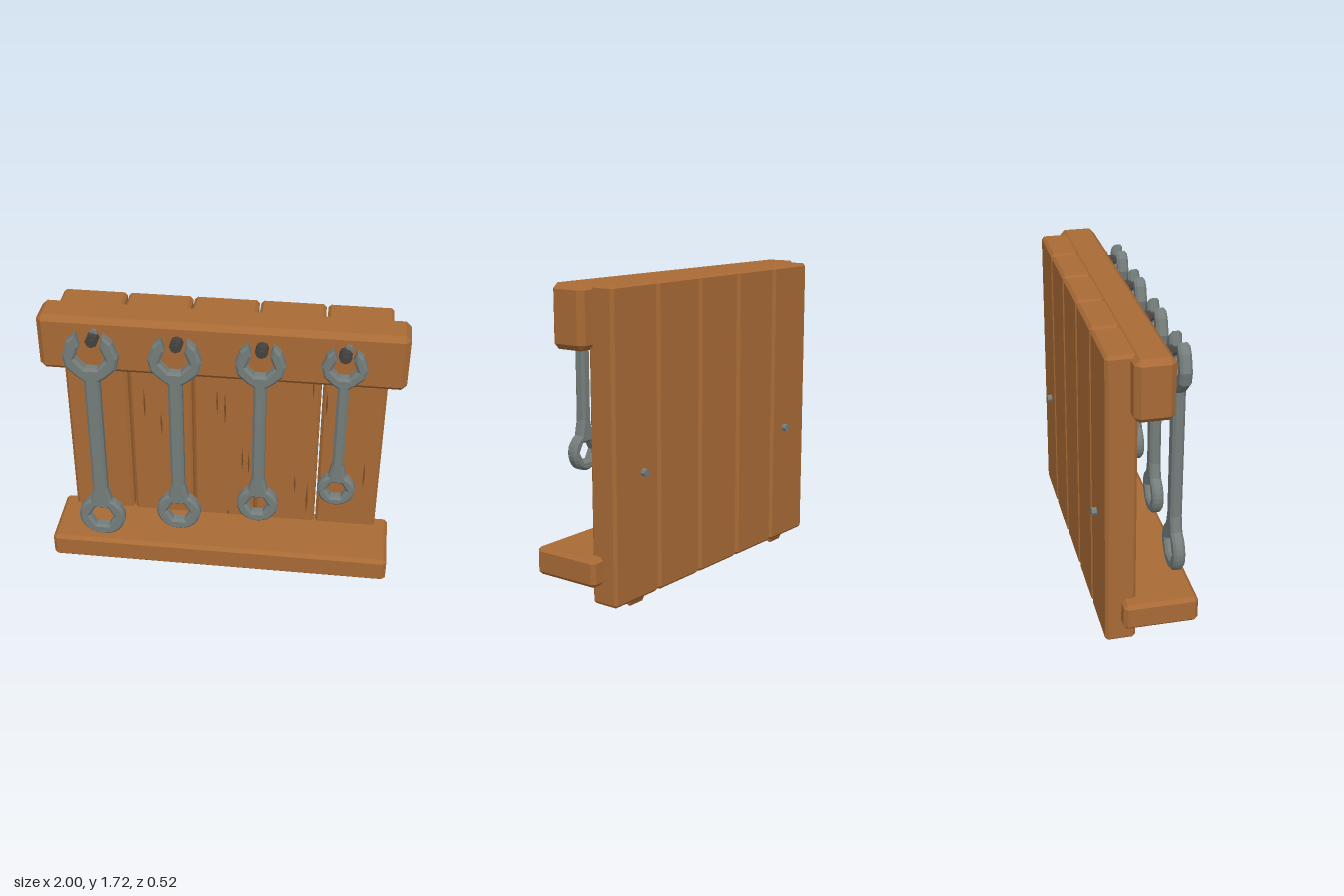
import * as THREE from 'three';
import { ConvexGeometry } from 'three/addons/geometries/ConvexGeometry.js';

const mat = (name, color) => {
  const m = new THREE.MeshStandardMaterial({ color, flatShading: true });
  m.name = name;
  return m;
};

// Box with flat chamfered edges, given by its limits
function chamferBox(x0, x1, y0, y1, z0, z1, c) {
  const half = [(x1 - x0) / 2, (y1 - y0) / 2, (z1 - z0) / 2];
  const pts = [];
  for (const sx of [-1, 1]) for (const sy of [-1, 1]) for (const sz of [-1, 1])
    for (let axis = 0; axis < 3; axis++) {
      const p = half.map((h, i) => (i === axis ? h : h - c));
      pts.push(new THREE.Vector3(p[0] * sx, p[1] * sy, p[2] * sz));
    }
  return new ConvexGeometry(pts).translate((x0 + x1) / 2, (y0 + y1) / 2, (z0 + z1) / 2);
}

// Extrusion centred on z, keeping the drawn outline as its widest section
function chamferExtrude(shape, thickness, c) {
  return new THREE.ExtrudeGeometry(shape, {
    depth: thickness - 2 * c, bevelEnabled: true, bevelSegments: 1,
    bevelThickness: c, bevelSize: c, bevelOffset: -c, steps: 1, curveSegments: 1,
  }).translate(0, 0, -thickness / 2 + c);
}

// Combination wrench: ring at the bottom, open jaw at the top
function wrenchGeometry({ ringY, ringR, holeR, jawR, handleW }) {
  const jawY = 1.695 - jawR * 0.93;
  const w = handleW / 2;
  const pts = [];
  // right half, from the jaw opening down to the ring
  const jaw = [[0.22, -0.43], [0.55, -0.06], [0.36, 0.45], [0.48, 0.93], [0.8, 0.64],
    [1, 0.04], [0.9, -0.44], [0.52, -0.8]];
  for (const [x, y] of jaw) pts.push([x * jawR, jawY + y * jawR]);
  pts.push([w, jawY - jawR * 0.98]);
  pts.push([w, ringY + ringR + 0.07]);
  const a0 = 0.48, n = 11;
  for (let i = 0; i <= n; i++) {
    const a = a0 + (Math.PI - a0) * i / n;
    pts.push([Math.sin(a) * ringR, ringY + Math.cos(a) * ringR]);
  }
  // mirrored left half, without repeating the lowest point
  const left = pts.slice(0, -1).reverse().map(([x, y]) => [-x, y]);
  const shape = new THREE.Shape(pts.concat(left).map(([x, y]) => new THREE.Vector2(x, y)));
  // hexagonal hole
  const hole = [];
  for (let i = 0; i < 6; i++) {
    const a = i * Math.PI / 3;
    hole.push(new THREE.Vector2(Math.cos(a) * holeR, ringY + Math.sin(a) * holeR));
  }
  shape.holes.push(new THREE.Path(hole));
  return chamferExtrude(shape, 0.065, 0.014);
}

export function createModel() {
  const root = new THREE.Group();
  root.name = 'wrenchRack';
  const wood = mat('wood', 0xa86a35);
  const grain = mat('darkGrain', 0x7a4a22);
  const steel = mat('steel', 0x747d7b);
  const iron = mat('darkIron', 0x45423f);
  const add = (name, geo, material, x = 0, y = 0, z = 0) => {
    const m = new THREE.Mesh(geo, material);
    m.name = name;
    m.position.set(x, y, z);
    root.add(m);
    return m;
  };

  // Back planks
  for (let i = 0; i < 5; i++) {
    const x = (i - 2) * 0.3655;
    add('plank', chamferBox(x - 0.178, x + 0.178, 0.045, 1.72, -0.23, -0.065, 0.016), wood);
  }

  // Top rail and bottom shelf
  add('topRail', chamferBox(-1, 1, 1.39, 1.725, -0.105, 0.105, 0.03), wood);
  add('shelf', chamferBox(-0.987, 0.987, 0.16, 0.312, -0.145, 0.26, 0.02), wood);

  // Wedge brackets under the shelf
  const wedge = new THREE.Shape([[0.17, 0.17], [-0.19, 0.17], [-0.19, 0.035], [-0.175, 0.001], [0.07, 0.083]]
    .map(([z, y]) => new THREE.Vector2(z, y)));
  for (const s of [-1, 1])
    add('bracket', chamferExtrude(wedge, 0.13, 0.012), wood, s * 0.682).rotation.y = -Math.PI / 2;

  // Grain streaks on the planks: x, lower y, upper y
  const streaks = [[-0.75, 1.11, 1.29], [-0.46, 0.98, 1.2], [-0.365, 0.86, 1.05], [-0.29, 0.96, 1.09],
    [-0.04, 1.04, 1.23], [0.005, 0.97, 1.21], [0.107, 0.66, 0.82], [0.145, 0.63, 0.79], [0.025, 0.31, 0.345],
    [0.5, 1.18, 1.39], [0.495, 0.36, 0.59], [0.42, 0.51, 0.66], [0.58, 1.09, 1.25], [0.82, 0.59, 0.78]];
  for (const [x, y0, y1] of streaks) {
    const s = new THREE.Shape();
    s.moveTo(0, y0);
    s.lineTo(0.007, y0 + (y1 - y0) * 0.4);
    s.lineTo(0, y1);
    s.lineTo(-0.005, y0 + (y1 - y0) * 0.5);
    add('grainStreak', new THREE.ShapeGeometry(s), grain, x, 0, -0.063);
  }

  // Wrenches hanging from pegs, largest to smallest
  const wrenches = [
    { x: -0.686, ringY: 0.46, ringR: 0.135, holeR: 0.073, jawR: 0.152, handleW: 0.084 },
    { x: -0.232, ringY: 0.54, ringR: 0.127, holeR: 0.067, jawR: 0.145, handleW: 0.077 },
    { x: 0.224, ringY: 0.635, ringR: 0.118, holeR: 0.062, jawR: 0.135, handleW: 0.07 },
    { x: 0.664, ringY: 0.785, ringR: 0.105, holeR: 0.056, jawR: 0.12, handleW: 0.062 },
  ];
  const rod = (r, len, sides) => new THREE.CylinderGeometry(r, r, len, sides).rotateX(Math.PI / 2);
  for (const w of wrenches) {
    add('wrench', wrenchGeometry(w), steel, w.x, 0, 0.197);
    add('peg', rod(0.035, 0.07, 8), iron, w.x, 1.62, 0.128);
    add('pegTip', rod(0.022, 0.04, 8), iron, w.x, 1.62, 0.165);
  }

  // Screw heads on the front of the rail and on the back
  for (const s of [-1, 1]) {
    add('railScrew', rod(0.022, 0.03, 8), steel, s * 0.68, 1.65, 0.11);
    add('backScrew', rod(0.022, 0.03, 8), steel, s * 0.68, 0.735, -0.243);
  }
  return root;
}
